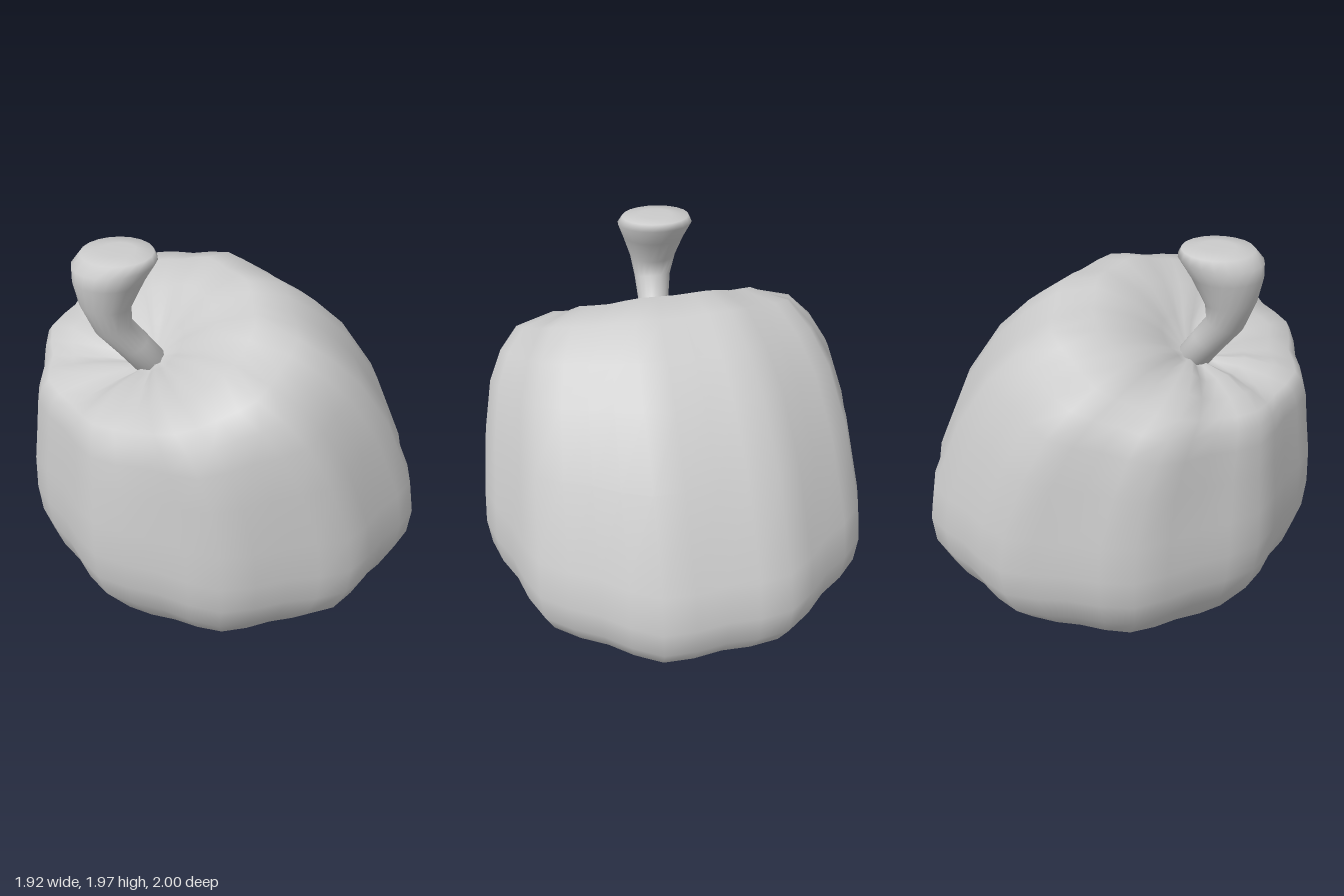
import * as THREE from 'three';

// Skins a stack of tilted oval rings, closed by a pole at each end.
// ring: [leftX, leftY, rightX, rightY, halfDepth, groove, sink]
// groove narrows the ring between lobes, sink lowers it there, mostly on the left.
function skinRings(rings, bottom, top, sides, lobes, zAt) {
  const pos = [...bottom];
  const idx = [];
  for (const [lx, ly, rx, ry, hz, groove = 0, sink = 0] of rings) {
    const cx = (lx + rx) / 2, cy = (ly + ry) / 2;
    // lobes straddle the x axis, so the full radius lies beyond the outline
    const k = lobes ? 0.988 / Math.cos(Math.PI / lobes) : 1;
    const hx = (rx - lx) / 2 * k, hy = (ry - ly) / 2 * k;
    for (let j = 0; j < sides; j++) {
      const a = j / sides * Math.PI * 2;
      const notch = lobes ? (1 + Math.cos(a * lobes)) / 2 : 0;
      const r = 1 - groove * notch;
      const drop = sink * notch * (1 - 0.8 * Math.cos(a)) / 2;
      pos.push(
        cx + hx * r * Math.cos(a) + 0.4 * drop,
        cy + hy * r * Math.cos(a) - 0.92 * drop,
        zAt(cy) + hz * r * Math.sin(a)
      );
    }
  }
  pos.push(...top);
  const n = rings.length;
  const last = n * sides + 1;
  const at = (i, j) => 1 + i * sides + (j % sides);
  for (let j = 0; j < sides; j++) {
    idx.push(0, at(0, j), at(0, j + 1));
    for (let i = 0; i < n - 1; i++) {
      idx.push(at(i, j), at(i + 1, j), at(i, j + 1));
      idx.push(at(i, j + 1), at(i + 1, j), at(i + 1, j + 1));
    }
    idx.push(at(n - 1, j), last, at(n - 1, j + 1));
  }
  const geo = new THREE.BufferGeometry();
  geo.setAttribute('position', new THREE.Float32BufferAttribute(pos, 3));
  geo.setIndex(idx);
  geo.computeVertexNormals();
  return geo;
}

export function createModel() {
  const group = new THREE.Group();
  group.name = 'pumpkin';
  const material = new THREE.MeshStandardMaterial({ color: 0xcccccc });

  // Ribbed body: ten lobes, leaning so the crown tips to the right side
  const bodyRings = [
    [-0.40, 0.05, 0.36, 0.04, 0.42, 0.03],
    [-0.61, 0.11, 0.60, 0.10, 0.63, 0.04],
    [-0.77, 0.20, 0.76, 0.185, 0.79, 0.045],
    [-0.91, 0.41, 0.87, 0.28, 0.93, 0.05],
    [-0.95, 0.55, 0.95, 0.41, 0.985, 0.05],
    [-0.96, 0.70, 0.96, 0.55, 1.00, 0.05],
    [-0.95, 0.88, 0.92, 0.74, 0.985, 0.05],
    [-0.925, 1.06, 0.72, 1.16, 0.94, 0.05],
    [-0.91, 1.20, 0.51, 1.45, 0.885, 0.05],
    [-0.89, 1.28, 0.34, 1.61, 0.815, 0.05, 0.01],
    [-0.86, 1.33, 0.17, 1.73, 0.72, 0.05, 0.03],
    [-0.77, 1.37, 0.00, 1.765, 0.53, 0.04, 0.05],
    [-0.65, 1.40, -0.16, 1.685, 0.33, 0.03, 0.05],
    [-0.53, 1.40, -0.28, 1.56, 0.15, 0.02, 0.03]
  ];
  const body = new THREE.Mesh(
    skinRings(bodyRings, [0, 0, 0], [-0.40, 1.41, -0.01], 40, 10, () => 0), material);
  body.name = 'body';
  group.add(body);

  // Bent stem flaring to a flat cut end, drifting slightly backwards
  const stemRings = [
    [-0.47, 1.33, -0.34, 1.41, 0.08],
    [-0.58, 1.48, -0.44, 1.55, 0.08],
    [-0.675, 1.60, -0.51, 1.645, 0.095],
    [-0.73, 1.74, -0.505, 1.72, 0.12],
    [-0.75, 1.85, -0.435, 1.84, 0.16],
    [-0.745, 1.91, -0.37, 1.93, 0.19],
    [-0.70, 1.955, -0.385, 1.962, 0.17],
    [-0.62, 1.965, -0.46, 1.967, 0.08]
  ];
  const drift = y => -0.045 * THREE.MathUtils.smoothstep(y, 1.3, 1.75);
  const stem = new THREE.Mesh(
    skinRings(stemRings, [-0.40, 1.36, 0], [-0.54, 1.96, -0.045], 20, 0, drift), material);
  stem.name = 'stem';
  group.add(stem);

  return group;
}
